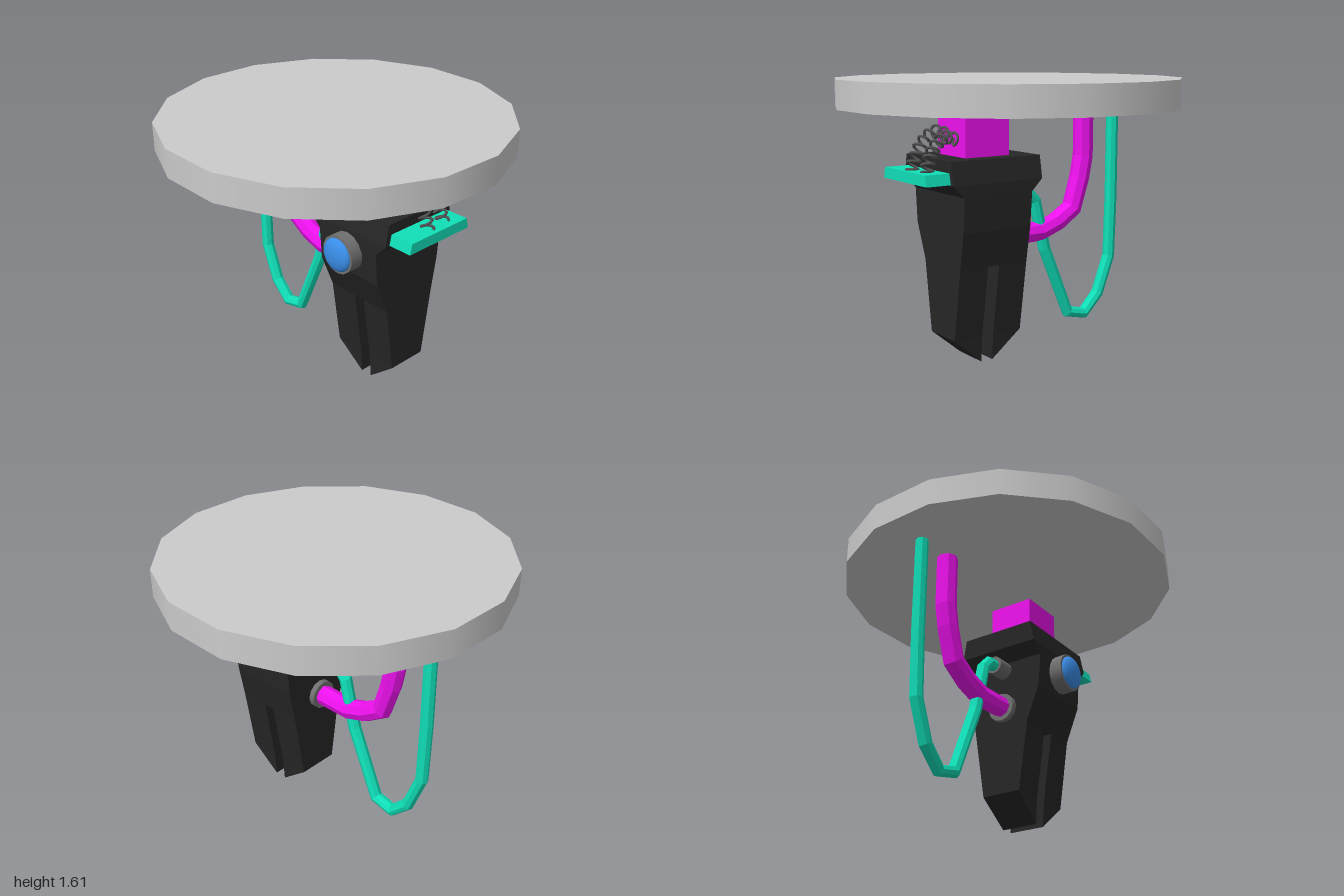
import * as THREE from 'three';

const mat = (color, flat = true) => new THREE.MeshStandardMaterial({ color, flatShading: flat });
const Z = -0.07; // depth of the mechanism's middle plane

// Polyline path, so a tube keeps its straight segments and mitred bends
class Polyline extends THREE.Curve {
  constructor(points) {
    super();
    this.points = points.map(([x, y]) => new THREE.Vector3(x, y, Z));
  }
  getPointAt(t) {
    const n = this.points.length - 1;
    const f = Math.min(Math.max(t, 0), 1) * n;
    const i = Math.min(Math.floor(f), n - 1);
    return this.points[i].clone().lerp(this.points[i + 1], f - i);
  }
  getPoint(t) {
    return this.getPointAt(t);
  }
  getTangentAt(t) {
    const p = this.getPointAt(t);
    const before = p.clone().sub(this.getPointAt(t - 0.001)).normalize();
    const after = this.getPointAt(t + 0.001).sub(p).normalize();
    return before.add(after).normalize();
  }
}

// Solid through rectangular sections, listed downward as [y, x0, x1, zBack, zFront]
function loft(sections) {
  const pos = [], index = [];
  for (const [y, x0, x1, zb, zf] of sections) {
    pos.push(x0, y, zf, x1, y, zf, x1, y, zb, x0, y, zb);
  }
  for (let s = 0; s < sections.length - 1; s++) {
    for (let i = 0; i < 4; i++) {
      const a = s * 4 + i, b = s * 4 + (i + 1) % 4;
      index.push(a, a + 4, b + 4, a, b + 4, b);
    }
  }
  const e = (sections.length - 1) * 4;
  index.push(0, 1, 2, 0, 2, 3, e, e + 2, e + 1, e, e + 3, e + 2);
  const indexed = new THREE.BufferGeometry();
  indexed.setAttribute('position', new THREE.Float32BufferAttribute(pos, 3));
  indexed.setIndex(index);
  const g = indexed.toNonIndexed();
  g.computeVertexNormals();
  return g;
}

// Coil wound around an arched centre line
function coil(path, turns, radius) {
  const centre = new THREE.CatmullRomCurve3(path.map((p) => new THREE.Vector3(...p)));
  const pts = [], n = turns * 12;
  for (let i = 0; i <= n; i++) {
    const t = i / n, a = t * turns * Math.PI * 2;
    const tan = centre.getTangentAt(t);
    const normal = new THREE.Vector3(-tan.y, tan.x, 0).normalize();
    const side = tan.clone().cross(normal);
    pts.push(centre.getPointAt(t)
      .addScaledVector(normal, Math.cos(a) * radius)
      .addScaledVector(side, Math.sin(a) * radius));
  }
  return new THREE.TubeGeometry(new THREE.CatmullRomCurve3(pts), n, 0.008, 5);
}

export function createModel() {
  const group = new THREE.Group();
  const black = mat(0x262626), grey = mat(0x707070, false);
  const magenta = mat(0xee11ee), teal = mat(0x10dfb8);
  const add = (name, geometry, material, x = 0, y = 0, z = 0) => {
    const mesh = new THREE.Mesh(geometry, material);
    mesh.name = name;
    mesh.position.set(x, y, z);
    group.add(mesh);
    return mesh;
  };

  // Ceiling disc and the square post hanging from it
  add('mountingDisc', new THREE.CylinderGeometry(1.015, 1.015, 0.165, 16, 1, false, 0.175),
    mat(0xcccccc, false), 0, 1.5325, 0);
  add('post', new THREE.BoxGeometry(0.29, 0.28, 0.29), magenta, 0.295, 1.315, -0.075);

  // Tapered body with a wider head
  add('body', loft([
    [1.19, 0, 0.59, -0.31, 0.17],
    [1.06, 0, 0.59, -0.333, 0.195],
    [0.99, 0.07, 0.52, -0.333, 0.195],
    [0.79, 0.07, 0.52, -0.317, 0.18],
    [0.58, 0.07, 0.52, -0.28, 0.095],
  ]), black);

  // Two prongs, each cut to a point on the inner side
  for (const [name, x0, x1, tip] of [
    ['rightProng', 0.07, 0.26, 0.26],
    ['leftProng', 0.335, 0.52, 0.335],
  ]) {
    add(name, loft([
      [0.58, x0, x1, -0.28, 0.095],
      [0.16, x0, x1, -0.217, 0.035],
      [0.005, tip, tip, -0.207, 0.025],
    ]), black);
  }

  // Side plate
  add('sidePlate', loft([
    [1.127, 0.585, 0.74, -0.292, 0.15],
    [1.065, 0.585, 0.74, -0.306, 0.165],
  ]), teal);

  // Front lamp: housing and shallow dome
  add('lampHousing', new THREE.CylinderGeometry(0.117, 0.117, 0.13, 14), grey, 0.295, 0.93, 0.205)
    .rotation.x = Math.PI / 2;
  const dome = add('lampDome',
    new THREE.SphereGeometry(0.102, 20, 8, 0, Math.PI * 2, 0, Math.PI / 2),
    mat(0x3a8eea, false), 0.295, 0.93, 0.27);
  dome.rotation.x = Math.PI / 2;
  dome.scale.y = 0.4;

  // Collars where the hoses enter the body
  add('upperCollar', new THREE.CylinderGeometry(0.055, 0.055, 0.12, 12), grey, 0.02, 0.943, Z)
    .rotation.z = Math.PI / 2;
  add('lowerCollar', new THREE.CylinderGeometry(0.088, 0.088, 0.045, 12), grey, 0.0575, 0.69, Z)
    .rotation.z = Math.PI / 2;

  // Hoses from the disc to the collars
  const hose = (name, points, radius, material) => add(name,
    new THREE.TubeGeometry(new Polyline(points), points.length - 1, radius, 8), material);
  hose('thickHose', [[-0.515, 1.46], [-0.515, 1.13], [-0.49, 1.0], [-0.43, 0.81],
    [-0.31, 0.735], [-0.18, 0.69], [0.05, 0.69]], 0.062, magenta);
  hose('thinHose', [[-0.75, 1.46], [-0.75, 0.85], [-0.74, 0.47], [-0.65, 0.235],
    [-0.535, 0.12], [-0.405, 0.15], [-0.22, 0.58], [-0.145, 0.885],
    [-0.095, 0.937], [-0.03, 0.937]], 0.038, teal);

  // Two springs arching from the post to the side plate
  const steel = mat(0x555555, false);
  add('frontSpring', coil([[0.43, 1.3, -0.04], [0.52, 1.33, -0.04], [0.61, 1.27, -0.04],
    [0.66, 1.18, -0.04], [0.68, 1.12, -0.04]], 8, 0.034), steel);
  add('backSpring', coil([[0.43, 1.28, -0.135], [0.52, 1.305, -0.14], [0.6, 1.25, -0.155],
    [0.645, 1.18, -0.17], [0.665, 1.12, -0.178]], 8, 0.034), steel);

  return group;
}
